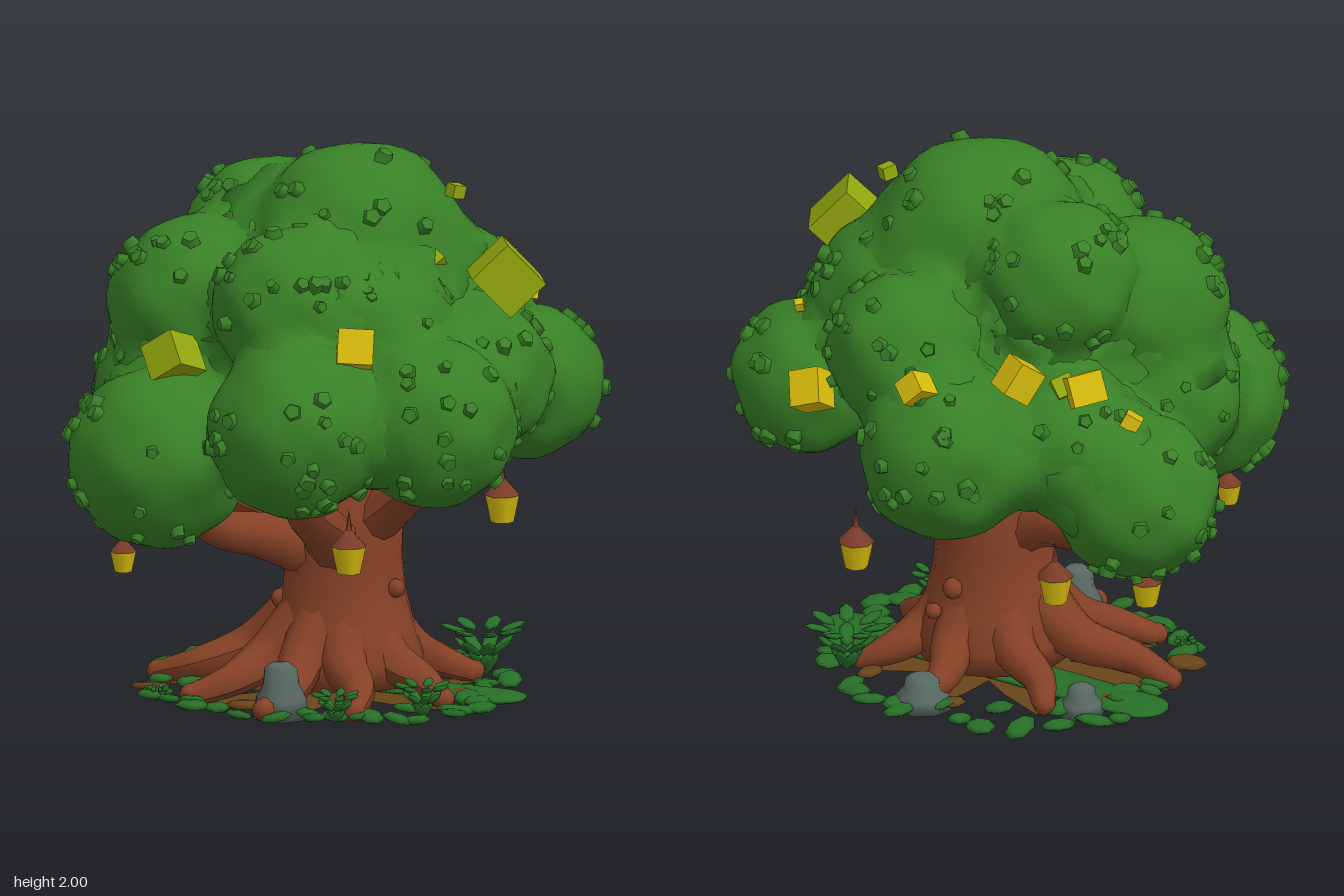
import * as THREE from 'three';
import { mergeVertices, mergeGeometries } from 'three/addons/utils/BufferGeometryUtils.js';

const mat = (name, color, extra = {}) => Object.assign(new THREE.MeshStandardMaterial({ color, ...extra }), { name });
const V = (x, y, z) => new THREE.Vector3(x, y, z);

export function createModel() {
  const leafGreen = mat('leaf green', 0x388026);
  const groundGreen = mat('ground green', 0x276f27, { side: THREE.DoubleSide });
  const bark = mat('bark brown', 0x864126);
  const earth = mat('earth brown', 0x68451a, { side: THREE.DoubleSide });
  const capBrown = mat('cap brown', 0x7a3c28);
  const yellow = mat('golden yellow', 0xd6ba0c);
  const olive = mat('olive yellow', 0x93a70e);
  const stone = mat('stone grey', 0x586962);

  const tree = new THREE.Group();
  tree.name = 'tree';
  let seed = 7;
  const rand = () => (seed = (seed * 16807) % 2147483647) / 2147483647;
  const between = (a, b) => a + (b - a) * rand();
  const add = (name, geo, material, parent = tree) => {
    const m = new THREE.Mesh(geo, material);
    m.name = name;
    parent.add(m);
    return m;
  };
  const group = (name) => {
    const g = new THREE.Group();
    g.name = name;
    tree.add(g);
    return g;
  };

  // Smooth limb narrowing from r0 to r1 along a curve, with a rounded end
  const limb = (points, r0, r1, sides = 10) => {
    const curve = new THREE.CatmullRomCurve3(points.map((p) => V(...p)));
    const n = 14;
    const geo = new THREE.TubeGeometry(curve, n, 1, sides);
    const pos = geo.attributes.position;
    for (let i = 0; i <= n; i++) {
      const c = curve.getPointAt(i / n);
      const r = THREE.MathUtils.lerp(r0, r1, Math.pow(i / n, 0.8));
      for (let j = 0; j <= sides; j++) {
        const k = i * (sides + 1) + j;
        const p = V().fromBufferAttribute(pos, k).sub(c).multiplyScalar(r).add(c);
        pos.setXYZ(k, p.x, Math.max(p.y, 0.008), p.z);
      }
    }
    geo.computeVertexNormals();
    const tip = new THREE.SphereGeometry(r1, sides, 6);
    const end = points[points.length - 1];
    tip.translate(end[0], Math.max(end[1], r1), end[2]);
    return mergeGeometries([geo, tip]);
  };

  // Trunk
  const cx = 0.09, cz = -0.07;
  const profile = [[0, 0.05], [0.27, 0.05], [0.285, 0.14], [0.25, 0.25], [0.22, 0.37], [0.208, 0.5],
    [0.212, 0.6], [0.19, 0.72], [0.15, 0.85], [0.13, 1.1]];
  const trunk = add('trunk', new THREE.LatheGeometry(profile.map((p) => new THREE.Vector2(...p)), 20), bark);
  trunk.position.set(cx, 0, cz);

  // Roots spreading over the ground, each with a flat earthy underside
  const roots = group('roots');
  [[0.55, 0.03], [0.37, 0.36], [0.08, 0.5], [-0.27, 0.4], [-0.56, 0.12], [-0.35, -0.34], [0.03, -0.58], [0.42, -0.42]]
    .forEach(([x, z]) => {
      const at = (t, y, bend = 0) => [cx + (x - cx) * t - (z - cz) * bend, y, cz + (z - cz) * t + (x - cx) * bend];
      add('root', limb([at(0.2, 0.29), at(0.48, 0.15, 0.03), at(0.75, 0.085, -0.05), at(1, 0.035)], 0.125, 0.04), bark, roots);
      const len = Math.hypot(x - cx, z - cz);
      const wedge = new THREE.Shape([[0, -0.1], [len * 0.6, -0.075], [len, -0.03], [len, 0.03], [len * 0.6, 0.075], [0, 0.1]]
        .map((p) => new THREE.Vector2(...p)));
      const sole = add('rootUnderside', new THREE.ShapeGeometry(wedge).rotateX(Math.PI / 2), earth, roots);
      sole.position.set(cx, 0.005, cz);
      sole.rotation.y = -Math.atan2(z - cz, x - cx);
    });

  // Branches reaching into the crown
  const branches = group('branches');
  [[[0.12, 0.52, 0], [0.16, 0.64, 0.2], [0.2, 0.74, 0.4], [0.26, 0.92, 0.6]],
    [[0.12, 0.56, -0.05], [0.3, 0.7, -0.02], [0.46, 0.83, 0.02], [0.66, 1.0, 0.04]],
    [[0.06, 0.5, 0], [-0.1, 0.58, 0.14], [-0.22, 0.64, 0.32], [-0.3, 0.8, 0.48]],
    [[0.05, 0.5, -0.08], [-0.14, 0.6, -0.09], [-0.34, 0.64, -0.13], [-0.58, 0.78, -0.22]],
    [[0.12, 0.54, -0.1], [0.18, 0.68, -0.3], [0.22, 0.8, -0.46], [0.22, 1.02, -0.6]]]
    .forEach((p) => add('branch', limb(p, 0.11, 0.05), bark, branches));
  [[0.31, 0.4, -0.05, 0.035], [0.1, 0.35, -0.29, 0.04], [0.16, 0.26, -0.33, 0.03], [-0.1, 0.34, 0.05, 0.035]]
    .forEach(([x, y, z, r]) => add('knot', new THREE.IcosahedronGeometry(r, 1), bark).position.set(x, y, z));

  // Crown: leaf balls (x, y, z, radius) that melt into each other where they meet
  const balls = [
    [0.14, 1.6, -0.08, 0.385], [0.13, 1.48, 0.39, 0.28], [-0.36, 1.41, 0.2, 0.31], [-0.27, 1.6, -0.16, 0.28],
    [0.09, 1.38, -0.59, 0.27], [0.38, 1.4, -0.28, 0.29], [-0.7, 0.91, -0.25, 0.29], [-0.31, 0.93, 0.57, 0.32],
    [0.29, 1.1, 0.64, 0.31], [0.67, 1.11, 0.33, 0.3], [0.62, 1.2, -0.08, 0.27], [0.6, 1.1, -0.48, 0.275],
    [-0.18, 1.08, -0.67, 0.31], [-0.02, 1.28, -0.03, 0.42], [-0.45, 1.08, -0.33, 0.27], [-0.42, 1.08, 0.2, 0.31],
    [0.38, 1.36, 0.2, 0.28]];
  const centres = balls.map((o) => V(o[0], o[1], o[2]));
  const k = 0.03;
  const blend = (p) => -k * Math.log(balls.reduce((s, o, i) => s + Math.exp((o[3] - p.distanceTo(centres[i])) / k), 0));
  const crown = group('crown');
  balls.forEach(([x, y, z, r], b) => {
    let geo = new THREE.IcosahedronGeometry(r, 7);
    geo.deleteAttribute('uv');
    geo.deleteAttribute('normal');
    geo = mergeVertices(geo);
    const pos = geo.attributes.position;
    for (let i = 0; i < pos.count; i++) {
      const d = V().fromBufferAttribute(pos, i).normalize();
      let reach = r;
      for (let step = 0; step < 5; step++) {
        const f = blend(d.clone().multiplyScalar(reach).add(centres[b]));
        if (f > -0.08) reach = Math.min(reach - f, r * 1.3);
      }
      const lump = Math.sin(d.x * 5 + b) * Math.sin(d.y * 6 + b * 2) * Math.sin(d.z * 5 + b * 3);
      d.multiplyScalar(reach * (1 + 0.05 * lump));
      pos.setXYZ(i, d.x, d.y, d.z);
    }
    geo.computeVertexNormals();
    add('leafBall', geo, leafGreen, crown).position.copy(centres[b]);

    // Leaf tufts on the exposed outer side
    const out = V(x, (y - 1.25) * 0.8, z).normalize();
    for (let i = 0; i < 48; i++) {
      const dir = V(between(-1, 1), between(-1, 1), between(-1, 1)).normalize();
      const at = dir.clone().multiplyScalar(r * 1.01).add(centres[b]);
      if (dir.dot(out) < 0.2 || blend(at) < -0.015) continue;
      const s = between(0.024, 0.04);
      const tuft = add('leafTuft', new THREE.CylinderGeometry(s * 0.75, s, 0.04, 5), leafGreen, crown);
      tuft.position.copy(at);
      tuft.quaternion.setFromUnitVectors(V(0, 1, 0), dir);
      tuft.rotateY(between(0, 6)).rotateX(between(-0.3, 0.3));
    }
  });

  // Faceted blossoms: x, y, z, size, colour
  const blossoms = group('blossoms');
  [[0.72, 1.56, -0.12, 0.165, olive], [-0.25, 1.29, 0.56, 0.13, olive], [0.48, 1.4, 0.55, 0.12, yellow],
    [0.36, 1.21, -0.77, 0.11, yellow], [-0.4, 1.38, -0.55, 0.105, yellow], [-0.58, 1.34, -0.4, 0.105, yellow],
    [-0.17, 1.38, -0.84, 0.085, yellow], [-0.71, 1.21, -0.3, 0.06, yellow], [0.44, 1.45, 0.37, 0.06, yellow],
    [0.47, 1.83, -0.2, 0.045, olive], [0.48, 1.61, 0, 0.07, olive], [0.59, 1.4, -0.55, 0.03, yellow],
    [-0.5, 1.33, -0.42, 0.07, olive]]
    .forEach(([x, y, z, s, m], i) => {
      const geo = new THREE.CylinderGeometry(s * 0.75, s * 0.75, s * 1.2, 4).toNonIndexed();
      geo.computeVertexNormals();
      const flower = add('blossom', geo, m, blossoms);
      flower.position.set(x, y, z);
      flower.rotation.set(0.5 + i * 0.15, i * 1.3, 0.6);
    });

  // Hanging acorn lanterns
  const lanterns = group('lanterns');
  [[0.81, 0.77, 0.07], [0.45, 0.635, 0.54], [-0.42, 0.55, 0.62, 0.75], [-0.7, 0.52, -0.2, 0.9], [-0.59, 0.635, -0.58], [0.12, 0.66, -0.82]]
    .forEach(([x, y, z, s = 1]) => {
      const acorn = new THREE.Group();
      acorn.name = 'lantern';
      add('body', new THREE.CylinderGeometry(0.063, 0.042, 0.1, 7), yellow, acorn);
      add('cap', new THREE.ConeGeometry(0.066, 0.07, 7), capBrown, acorn).position.y = 0.083;
      add('stem', new THREE.ConeGeometry(0.016, 0.1, 5), capBrown, acorn).position.y = 0.13;
      acorn.position.set(x, y, z);
      acorn.scale.setScalar(s);
      lanterns.add(acorn);
    });

  // Rocks
  const rockShape = [[0, 0], [0.105, 0], [0.09, 0.07], [0.065, 0.12], [0.06, 0.175], [0.035, 0.195], [0, 0.198]];
  [[0.1, 0.41, 1, 1], [0.04, -0.54, 1.05, 0.6], [-0.44, -0.24, 0.8, 0.55]].forEach(([x, z, w, h]) => {
    const rock = add('rock', new THREE.LatheGeometry(rockShape.map((p) => new THREE.Vector2(...p)), 9), stone);
    rock.position.set(x, 0, z);
    rock.scale.set(w, h, w);
  });

  // Long mossy strip lying under the roots
  const moss = add('mossStrip', new THREE.CapsuleGeometry(0.1, 1.26, 4, 10), groundGreen);
  moss.rotation.set(0, 0.06, Math.PI / 2);
  moss.scale.x = 0.2;
  moss.position.set(0.03, 0.02, -0.14);

  // Ground leaves around the roots, a few of them dry
  const ground = group('groundLeaves');
  const leaf = new THREE.SphereGeometry(1, 7, 4);
  for (let i = 0; i < 52; i++) {
    const a = i * 2.39996, r = between(0.45, 0.64), s = between(0.04, 0.068);
    const m = add('groundLeaf', leaf, i % 9 === 4 ? earth : groundGreen, ground);
    m.position.set(0.04 + Math.cos(a) * r * 1.08, 0.026, -0.05 + Math.sin(a) * r);
    m.scale.set(s * 1.2, 0.016, s * 0.85);
    m.rotation.set(between(-0.2, 0.2), between(0, 6), between(-0.2, 0.2));
  }

  // Ferns: arching fronds with pointed leaflets
  const blade = new THREE.SphereGeometry(1, 6, 4);
  [[0.43, -0.48, 0.23], [0.56, 0.2, 0.15], [0.33, 0.42, 0.13], [-0.4, 0.4, 0.06]].forEach(([x, z, h]) => {
    const fern = group('fern');
    fern.position.set(x, 0, z);
    for (let i = 0; i < 7; i++) {
      const frond = new THREE.Group();
      frond.name = 'frond';
      frond.rotation.y = i * 0.9;
      for (let j = 0; j < 3; j++) {
        const m = add('leaflet', blade, groundGreen, frond);
        m.position.set(h * (0.13 + j * 0.17), h * (0.25 + j * 0.27), 0);
        m.scale.set(h * 0.24, 0.01, h * 0.13);
        m.rotation.z = 1 - j * 0.35;
      }
      fern.add(frond);
    }
  });

  return tree;
}
